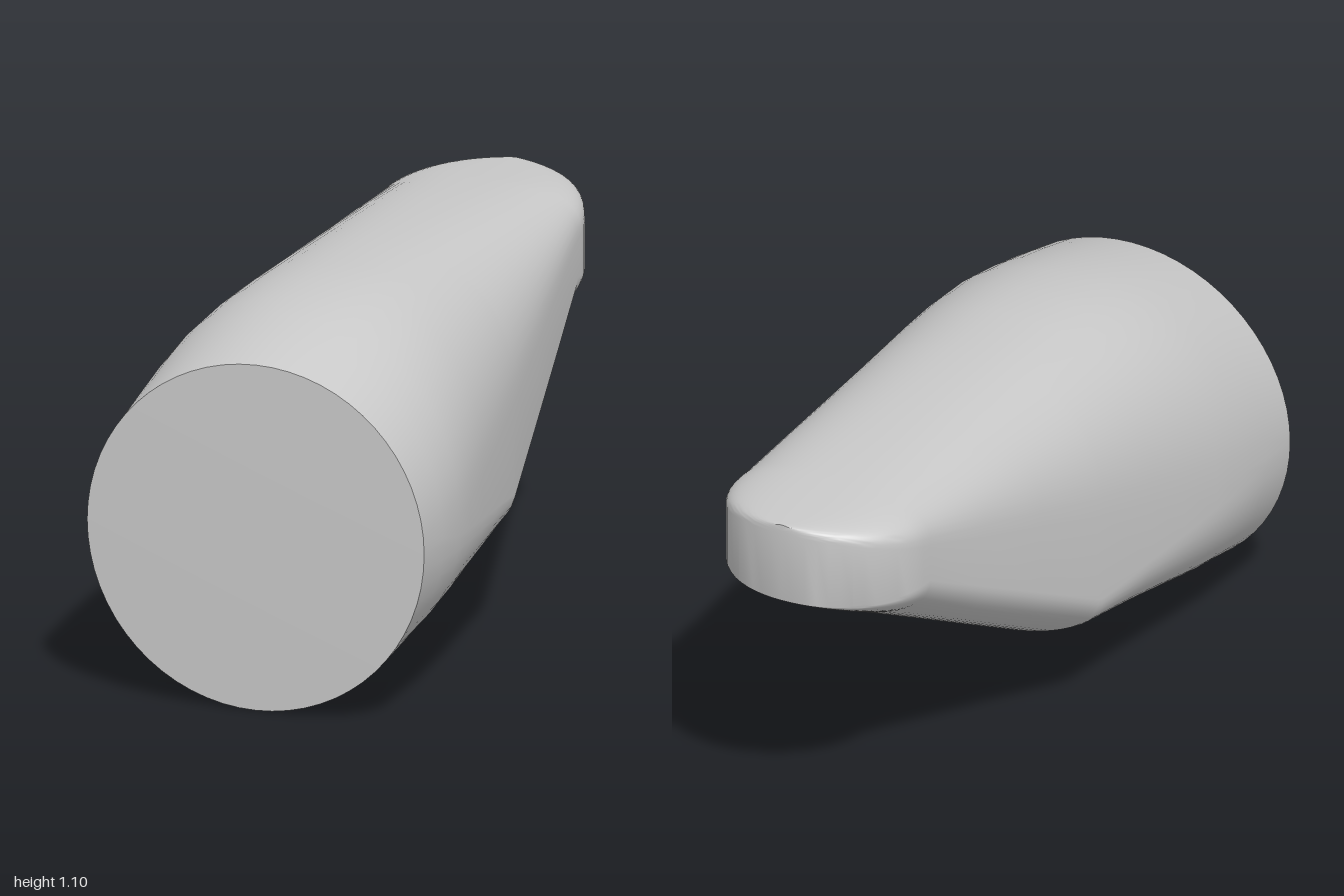
import * as THREE from 'three';
import { toCreasedNormals } from 'three/addons/utils/BufferGeometryUtils.js';

const HALF = 32; // segments in each half of a cross-section

// Stations of the body: z, half width, bottom, side low, side high, top, roundness of the top
const BODY = [
  [0.99, 0.5, 0, 0.5, 0.5, 0.995, 2],
  [0.85, 0.5, 0.037, 0.49, 0.51, 1.033, 2.05],
  [0.72, 0.498, 0.07, 0.48, 0.53, 1.063, 2.1],
  [0.6, 0.487, 0.102, 0.47, 0.55, 1.083, 2.2],
  [0.45, 0.467, 0.141, 0.455, 0.585, 1.097, 2.25],
  [0.3, 0.446, 0.18, 0.44, 0.62, 1.1, 2.3],
  [0.08, 0.416, 0.238, 0.42, 0.68, 1.097, 2.35],
  [0.06, 0.413, 0.245, 0.425, 0.685, 1.097, 2.35],
  [-0.2, 0.376, 0.386, 0.56, 0.77, 1.092, 2.4],
  [-0.45, 0.34, 0.522, 0.69, 0.85, 1.085, 2.5],
  [-0.7, 0.303, 0.657, 0.82, 0.93, 1.075, 2.6],
];

// The tip is round in plan, with an upright wall and a level lower edge
function tipStations(steps) {
  const out = [];
  for (let i = 1; i <= steps; i++) {
    const a = (i / steps) * Math.PI / 2;
    const s = Math.sin(a);
    const top = i === steps ? 1.045 : 1.075 - 0.018 * s;
    const width = i === steps ? 0 : 0.303 * Math.cos(a);
    out.push([-0.7 - 0.3 * s, width, 0.657 + 0.163 * s, 0.82, 0.93 + 0.1 * s, top, 2.6]);
  }
  return out;
}

// One closed cross-section: a rounded top, upright sides and an elliptical underside
function ring([z, w, bottom, low, high, top, n]) {
  const pts = [];
  const power = (v, e) => Math.sign(v) * Math.pow(Math.abs(v), e);
  for (let j = 0; j <= HALF; j++) {
    const a = (j / HALF) * Math.PI;
    pts.push([w * power(Math.cos(a), 2 / n), high + (top - high) * power(Math.sin(a), 2 / n), z]);
  }
  for (let j = 0; j <= HALF; j++) {
    const a = Math.PI + (j / HALF) * Math.PI;
    pts.push([w * Math.cos(a), low + (low - bottom) * Math.sin(a), z]);
  }
  return pts;
}

function loft(stations) {
  const rings = stations.map(ring);
  const count = rings[0].length;
  const position = rings.flat(2);
  const index = [];
  for (let i = 0; i < rings.length - 1; i++) {
    for (let j = 0; j < count; j++) {
      const k = (j + 1) % count;
      const a = i * count + j, b = i * count + k;
      index.push(a, a + count, b, b, a + count, b + count);
    }
  }
  // Slightly domed front face
  const centre = position.length / 3;
  position.push(0, 0.5, 1);
  for (let j = 0; j < count; j++) index.push(centre, j, (j + 1) % count);

  const geometry = new THREE.BufferGeometry();
  geometry.setAttribute('position', new THREE.Float32BufferAttribute(position, 3));
  geometry.setIndex(index);
  return toCreasedNormals(geometry, 0.5);
}

export function createModel() {
  const group = new THREE.Group();
  group.name = 'taperedPlug';
  const grey = new THREE.MeshStandardMaterial({ color: 0xc8c8c8 });
  grey.name = 'light grey';
  const body = new THREE.Mesh(loft([...BODY, ...tipStations(14)]), grey);
  body.name = 'taperedBody';
  group.add(body);
  return group;
}
